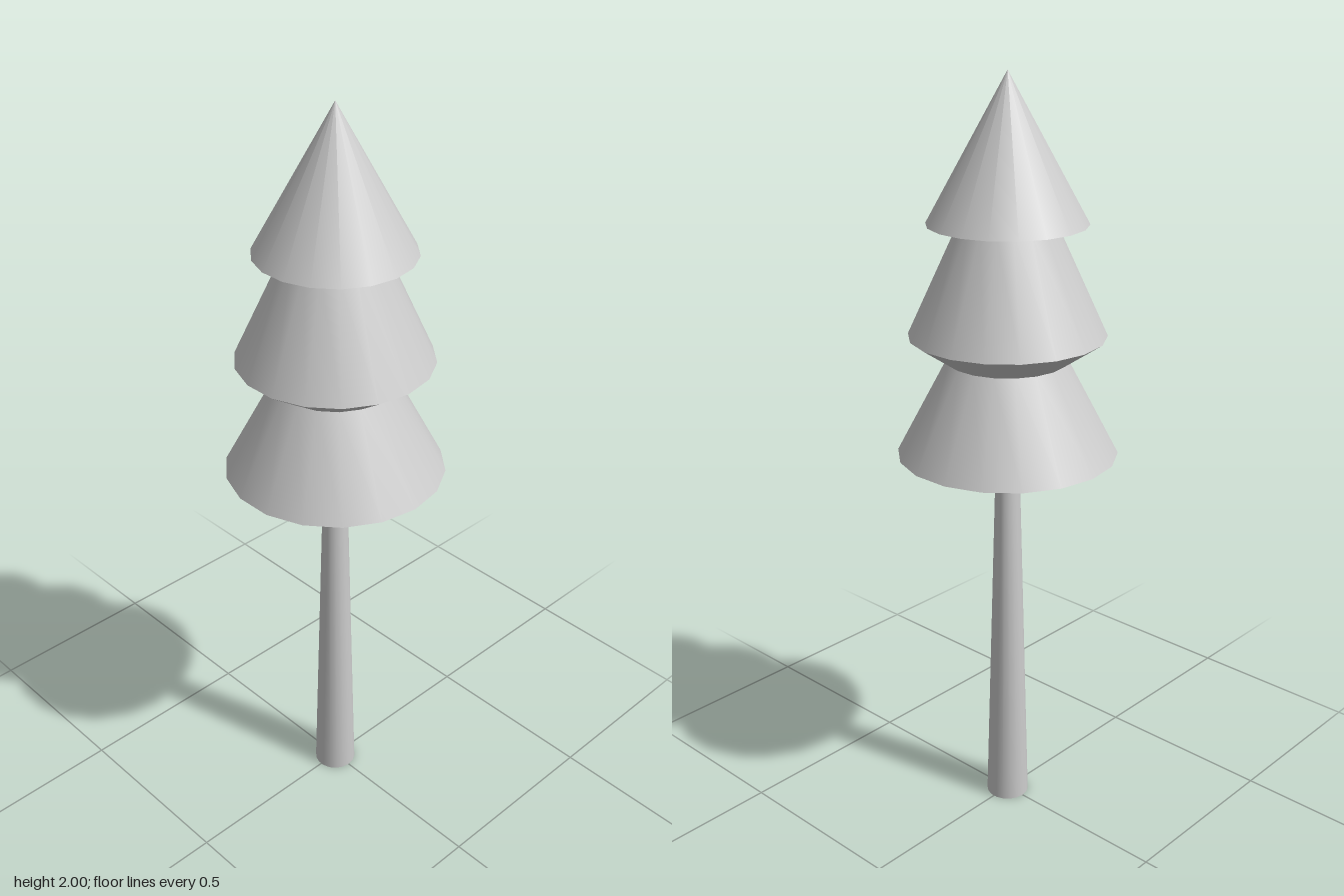
import * as THREE from 'three';
import { toCreasedNormals } from 'three/addons/utils/BufferGeometryUtils.js';

const SIDES = 18;
const material = new THREE.MeshStandardMaterial({ color: 0xcccccc, side: THREE.DoubleSide });

// Revolve a bottom-to-top [radius, height] profile, keeping the rims sharp
function revolve(name, profile) {
  const points = profile.map(([r, y]) => new THREE.Vector2(r, y));
  const lathe = new THREE.LatheGeometry(points, SIDES, Math.PI / 2);
  const mesh = new THREE.Mesh(toCreasedNormals(lathe, 0.6), material);
  mesh.name = name;
  return mesh;
}

export function createModel() {
  const tree = new THREE.Group();
  tree.name = 'tree';

  // Tapered trunk, open at the foot
  tree.add(revolve('trunk', [[0.058, 0], [0.033, 0.946]]));

  // Three stacked tiers of foliage, each flaring to a sharp rim
  tree.add(revolve('lowerFoliage', [[0, 0.935], [0.035, 0.945], [0.286, 1.042], [0.155, 1.29]]));
  tree.add(revolve('middleFoliage', [[0.155, 1.29], [0.252, 1.356], [0.122, 1.637]]));
  tree.add(revolve('topFoliage', [[0.122, 1.637], [0.202, 1.637], [0, 2]]));

  return tree;
}
